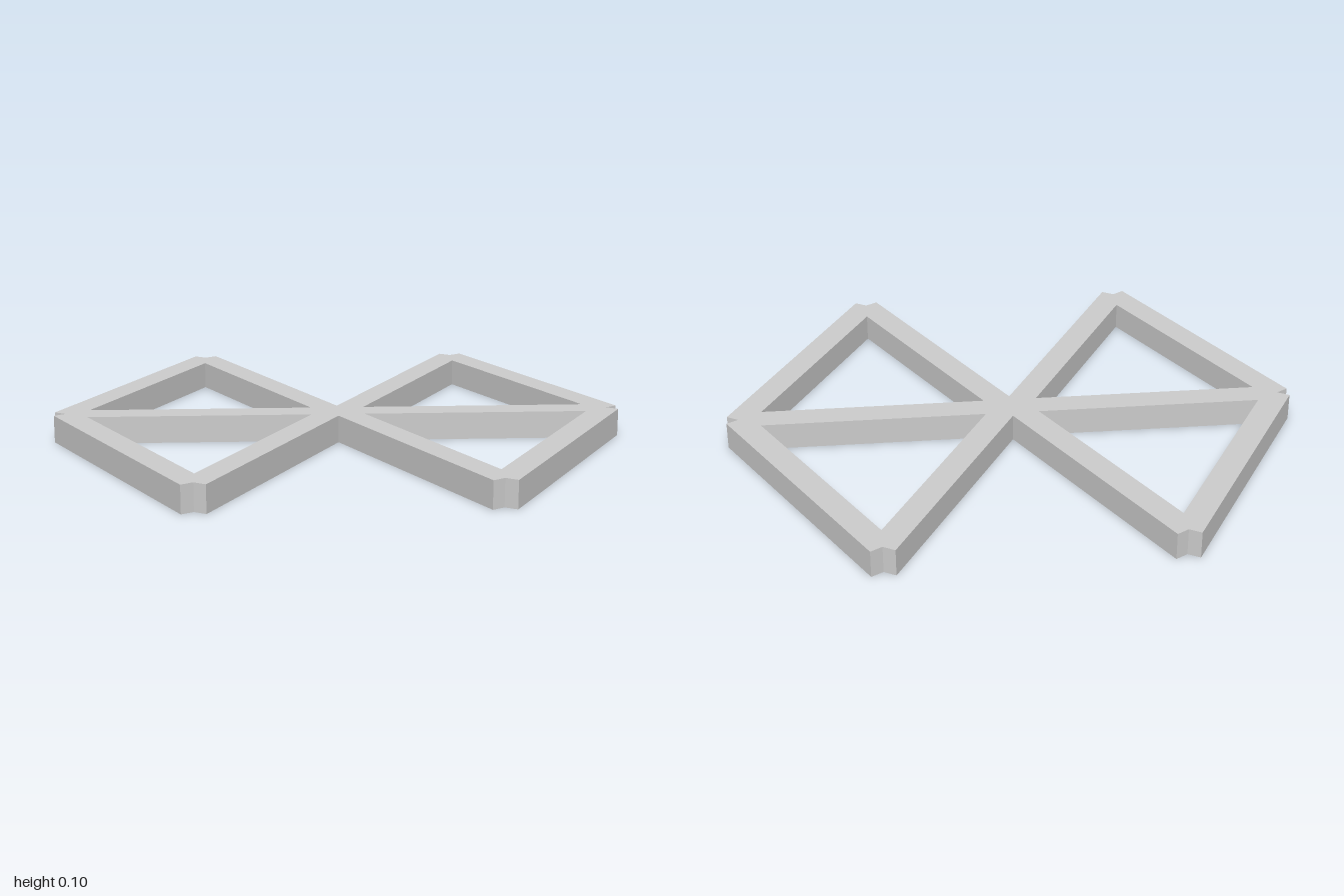
import * as THREE from 'three';

const HEIGHT = 0.097;  // thickness of the frame
const HALF = 0.046;    // half the width of a bar
const INNER = 0.014;   // triangle corner near the hub
const OUTER = 0.96;    // triangle corner at the far end
const MID = (INNER + OUTER) / 2;
const R3 = Math.sqrt(3);
const APEX = (OUTER - INNER) * R3 / 2;

// Outline of one quarter: end notch, square-cut bar ends, apex notch, hub notch
const dx = HALF * R3 / 2, dy = HALF / 2;
const quarter = [
  [OUTER, 0],
  [OUTER + dx, dy],
  [MID + dx, APEX + dy],
  [MID, APEX],
  [MID - dx, APEX + dy],
  [0, 2 * HALF - INNER * R3],
];

// Triangular opening of one quarter
const opening = [
  [INNER + HALF * R3, HALF],
  [OUTER - HALF * R3, HALF],
  [MID, APEX - 2 * HALF],
];

const mirror = (points, sx, sy) => {
  const out = points.map(([x, y]) => new THREE.Vector2(x * sx, y * sy));
  return sx * sy < 0 ? out.reverse() : out;
};

export function createModel() {
  const group = new THREE.Group();
  group.name = 'triangleFrame';

  // Go round the four quarters; the last point of each is the first of the next
  const quadrants = [[1, 1], [-1, 1], [-1, -1], [1, -1]];
  const outline = quadrants.flatMap(([sx, sy]) => mirror(quarter, sx, sy).slice(0, -1));
  const shape = new THREE.Shape(outline);
  for (const [sx, sy] of quadrants) {
    shape.holes.push(new THREE.Path(mirror(opening, sx, sy)));
  }

  // Lay the extruded frame flat on the ground
  const geometry = new THREE.ExtrudeGeometry(shape, { depth: HEIGHT, bevelEnabled: false });
  geometry.rotateX(-Math.PI / 2);

  const frame = new THREE.Mesh(
    geometry,
    new THREE.MeshStandardMaterial({ color: 0xcccccc, flatShading: true })
  );
  frame.name = 'barFrame';
  group.add(frame);
  return group;
}
